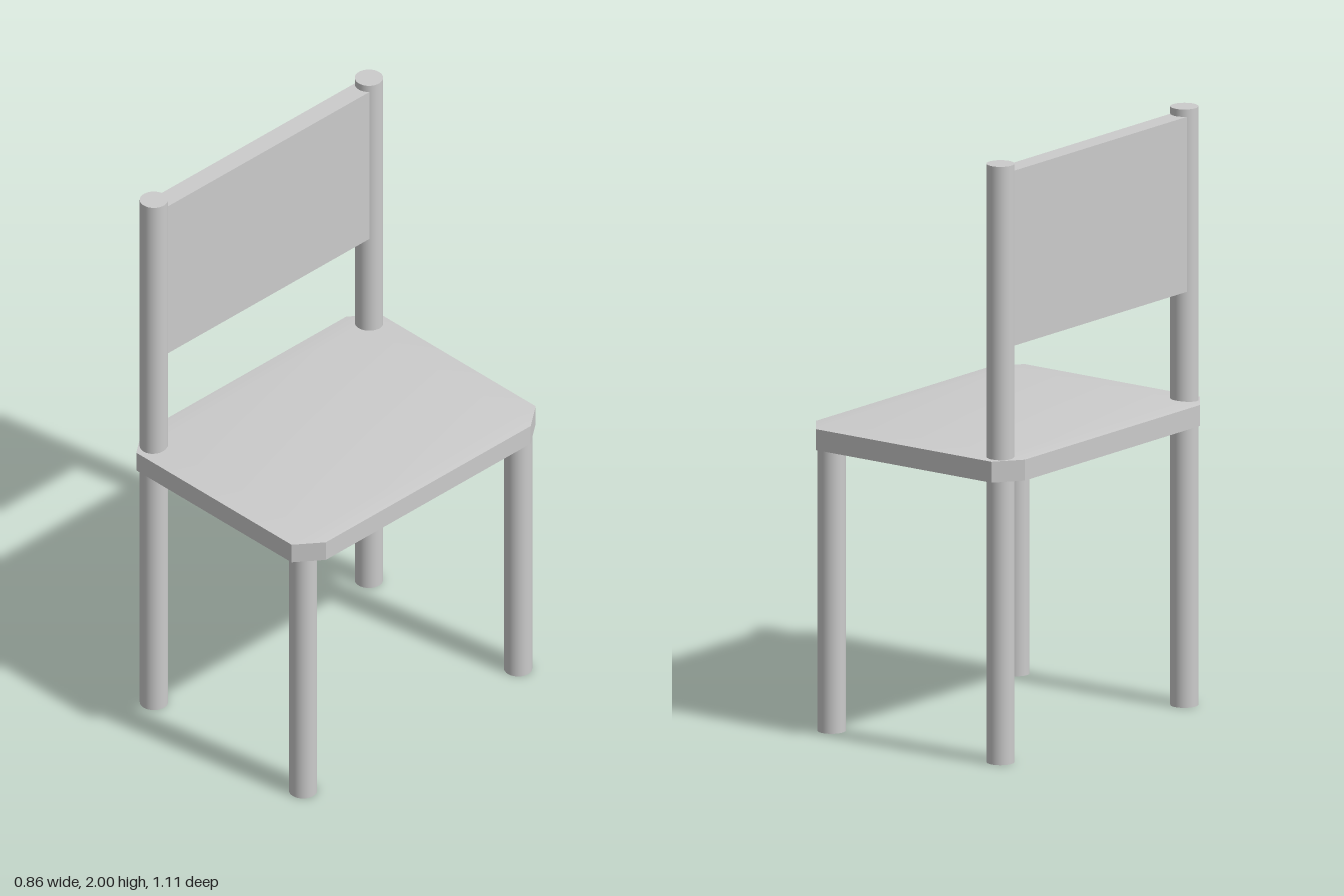
import * as THREE from 'three';
import { toCreasedNormals } from 'three/addons/utils/BufferGeometryUtils.js';

const material = new THREE.MeshStandardMaterial({ color: 0xcccccc });

function addMesh(group, name, geometry, x, y, z) {
  const mesh = new THREE.Mesh(geometry, material);
  mesh.name = name;
  mesh.position.set(x, y, z);
  group.add(mesh);
}

// Seat slab: clipped corners and a slight rise from the rim to an inner rectangle, top and bottom
function seatGeometry() {
  const X = 0.428, Z = 0.554, ix = 0.36, iz = 0.465, rim = 0.035, crown = 0.042;
  // each outline point is paired with the inner rectangle corner beside it
  const outline = [];
  for (const [sx, sz, flip] of [[1, 1, 0], [1, -1, 1], [-1, -1, 0], [-1, 1, 1]]) {
    const pair = [[sx * ix, sz * Z], [sx * X, sz * iz]];
    if (flip) pair.reverse();
    for (const p of pair) outline.push({ p, q: [sx * ix, sz * iz] });
  }
  const pos = [];
  const tri = (a, b, c) => pos.push(...a, ...b, ...c);
  const at = ([x, z], y) => [x, y, z];
  outline.forEach((a, i) => {
    const b = outline[(i + 1) % outline.length];
    // side wall
    tri(at(a.p, -rim), at(b.p, -rim), at(b.p, rim));
    tri(at(a.p, -rim), at(b.p, rim), at(a.p, rim));
    // sloped border and flat middle
    for (const s of [1, -1]) {
      const face = (u, v, w) => (s > 0 ? tri(u, v, w) : tri(u, w, v));
      const ap = at(a.p, s * rim), bp = at(b.p, s * rim);
      const aq = at(a.q, s * crown), bq = at(b.q, s * crown);
      face(ap, bp, bq);
      if (a.q[0] !== b.q[0] || a.q[1] !== b.q[1]) {
        face(ap, bq, aq);
        face(aq, bq, [0, s * crown, 0]);
      }
    }
  });
  const geometry = new THREE.BufferGeometry();
  geometry.setAttribute('position', new THREE.Float32BufferAttribute(pos, 3));
  return toCreasedNormals(geometry, 0.5);
}

export function createModel() {
  const group = new THREE.Group();
  group.name = 'chair';
  addMesh(group, 'seat', seatGeometry(), 0, 0.983, 0);

  // Two full-height posts on -x, two short legs on +x
  const radius = 0.046, legX = 0.346, legZ = 0.488;
  for (const [side, s] of [['A', 1], ['B', -1]]) {
    addMesh(group, 'backPost' + side, new THREE.CylinderGeometry(radius, radius, 2, 32), -legX, 1, s * legZ);
    addMesh(group, 'leg' + side, new THREE.CylinderGeometry(radius, radius, 0.97, 32), legX, 0.485, s * legZ);
  }

  // Panel held between the posts
  addMesh(group, 'backrest', new THREE.BoxGeometry(0.068, 0.585, 0.915), -0.346, 1.683, 0);
  return group;
}
